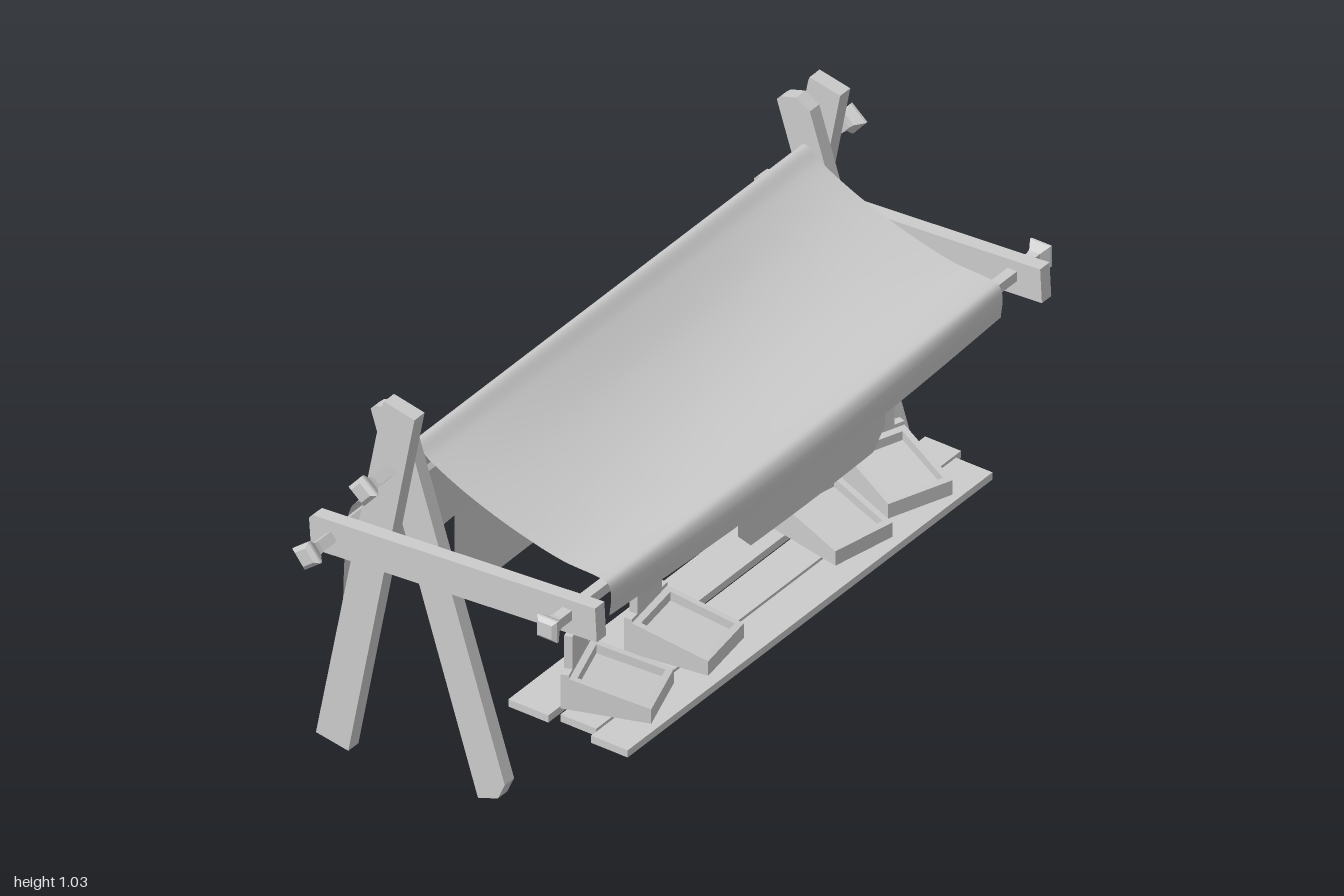
import * as THREE from 'three';

const grey = new THREE.MeshStandardMaterial({ color: 0xcccccc, flatShading: true });
const fabric = new THREE.MeshStandardMaterial({ color: 0xcccccc, side: THREE.DoubleSide });

function add(parent, name, geometry, material = grey) {
  const mesh = new THREE.Mesh(geometry, material);
  mesh.name = name;
  parent.add(mesh);
  return mesh;
}

// Flat board: outline given as [z, y] corners, spanning x0..x1
function slab(outline, x0, x1) {
  const shape = new THREE.Shape(outline.map(([z, y]) => new THREE.Vector2(-z, y)));
  return new THREE.ExtrudeGeometry(shape, { depth: x1 - x0, bevelEnabled: false })
    .rotateY(Math.PI / 2).translate(x0, 0, 0);
}

// Square pole along x with a flared knob at each end
function pole(half, roll, y, z) {
  const end = [[0.019, half - 0.05], [0.022, half - 0.037], [0.041, half - 0.015], [0.041, half - 0.009], [0.027, half], [0, half]];
  const profile = [
    ...end.slice().reverse().map(([r, l]) => new THREE.Vector2(r, -l)),
    ...end.map(([r, l]) => new THREE.Vector2(r, l)),
  ];
  return new THREE.LatheGeometry(profile, 4, roll).rotateZ(Math.PI / 2).translate(0, y, z);
}

// Surface grid from a function (u, v) => [x, y, z]
function sheet(nu, nv, point) {
  const pos = [], idx = [];
  for (let i = 0; i <= nu; i++) {
    for (let j = 0; j <= nv; j++) {
      pos.push(...point(i / nu, j / nv));
      if (i < nu && j < nv) {
        const a = i * (nv + 1) + j, b = a + nv + 1;
        idx.push(a, b, a + 1, b, b + 1, a + 1);
      }
    }
  }
  const g = new THREE.BufferGeometry();
  g.setAttribute('position', new THREE.Float32BufferAttribute(pos, 3));
  g.setIndex(idx);
  g.computeVertexNormals();
  return g;
}

const bulge = (x) => Math.max(0, Math.cos((x - 0.008) * Math.PI / 1.55));
const mix = THREE.MathUtils.lerp;
const curve = (pts) => new THREE.CatmullRomCurve3(pts.map(([z, y]) => new THREE.Vector3(0, y, z)), false, 'centripetal');

function buildCloth(group) {
  // Cross-sections [z, y] from the front hem over the poles to the back hem
  const side = curve([[0.37, 0.61], [0.375, 0.67], [0.365, 0.698], [0.34, 0.705], [0.235, 0.711], [0.1, 0.742],
    [-0.04, 0.79], [-0.148, 0.843], [-0.19, 0.873], [-0.212, 0.855], [-0.25, 0.74], [-0.3, 0.665],
    [-0.345, 0.65], [-0.372, 0.62], [-0.388, 0.5], [-0.395, 0.32]]);
  const middle = curve([[0.395, 0.61], [0.393, 0.67], [0.375, 0.7], [0.34, 0.703], [0.235, 0.69], [0.1, 0.703],
    [-0.04, 0.757], [-0.148, 0.835], [-0.19, 0.873], [-0.212, 0.855], [-0.25, 0.73], [-0.3, 0.66],
    [-0.345, 0.65], [-0.385, 0.62], [-0.42, 0.49], [-0.43, 0.32]]);
  add(group, 'canopyCloth', sheet(32, 75, (u, v) => {
    const x = mix(-0.765, 0.78, u), b = bulge(x);
    const p = side.getPoint(v).lerp(middle.getPoint(v), b);
    return [x, p.y, p.z];
  }), fabric);
  // Front drop with clipped lower corners
  add(group, 'frontFlap', sheet(12, 4, (u, v) => {
    const x = mix(-0.285, 0.295, u);
    const cut = Math.max(0, Math.abs(x - 0.005) - 0.242) / 0.048;
    return [x, mix(0.61, 0.53 + 0.05 * cut, v), mix(0.37, 0.395, bulge(x))];
  }), fabric);
  // Long back drop
  add(group, 'backFlap', sheet(12, 2, (u, v) => {
    const x = mix(-0.285, 0.295, u);
    return [x, mix(0.32, 0.07, v), mix(-0.395, -0.43, bulge(x))];
  }), fabric);
}

// Sloping display tray with a stepped back board
function buildTray(x, yaw, clip) {
  const tray = new THREE.Group();
  tray.name = 'displayTray';
  const w = 0.09, t = 0.016;
  const wedge = [[0.1, 0], [0.1, 0.04], [-0.1, 0.085], [-0.1, 0]];
  for (const s of [-1, 1]) add(tray, 'traySide', slab(wedge, s > 0 ? w - t : -w, s > 0 ? w : -w + t));
  add(tray, 'trayFloor', slab([[0.1, 0], [0.1, 0.018], [-0.1, 0.06], [-0.1, 0]], -w + t, w - t));
  add(tray, 'trayFront', slab([[0.1, 0], [0.1, 0.04], [0.084, 0.044], [0.084, 0]], -w + t, w - t));
  add(tray, 'trayBack', slab([[-0.084, 0], [-0.084, 0.081], [-0.1, 0.085], [-0.1, 0]], -w + t, w - t));
  const board = new THREE.Shape([
    [-w, 0], [w, 0], [w, 0.095], [0.062, 0.095], [0.062, 0.185],
    [-0.062 + clip, 0.185], [-0.062, 0.185 - clip], [-0.062, 0.095], [-w, 0.095],
  ].map(([a, b]) => new THREE.Vector2(a, b)));
  add(tray, 'trayBackBoard', new THREE.ExtrudeGeometry(board, { depth: 0.02, bevelEnabled: false })
    .translate(0, 0, -0.12));
  tray.position.set(x, 0.218, 0.245);
  tray.rotation.y = yaw;
  return tray;
}

export function createModel() {
  const group = new THREE.Group();
  group.name = 'marketStall';

  // A-frame legs and side arms
  const frontLeg = [[0.11, 0.065], [0.09, 0.02], [0.033, 0], [-0.275, 0.965], [-0.262, 0.977], [-0.22, 0.99], [-0.18, 0.967]];
  const backLeg = [[-0.31, 0.018], [-0.403, 0.034], [-0.212, 1.02], [-0.208, 1.032], [-0.12, 1.014]];
  const arm = [[0.43, 0.63], [0.425, 0.722], [-0.385, 0.666], [-0.396, 0.655], [-0.39, 0.572]];
  for (const s of [-1, 1]) {
    const board = (name, outline, a, b) =>
      add(group, name, slab(outline, s > 0 ? a : -b, s > 0 ? b : -a));
    board('frontLeg', frontLeg, 0.783, 0.82);
    board('backLeg', backLeg, 0.82, 0.86);
    board('sideArm', arm, 0.86, 0.897);
  }

  // Cross poles
  add(group, 'ridgePole', pole(0.977, 0.08, 0.847, -0.19));
  add(group, 'frontPole', pole(0.985, Math.PI / 4, 0.677, 0.345));
  add(group, 'backPole', pole(1, -0.12, 0.622, -0.335));

  buildCloth(group);

  // Shelf planks with staggered ends: [x0, x1, zBack, zFront]
  for (const [x0, x1, z0, z1] of [[-0.72, 0.72, 0.285, 0.39], [-0.69, 0.75, 0.175, 0.278], [-0.71, 0.73, 0.04, 0.155]]) {
    add(group, 'shelfPlank', new THREE.BoxGeometry(x1 - x0, 0.02, z1 - z0)
      .translate((x0 + x1) / 2, 0.208, (z0 + z1) / 2));
  }
  add(group, 'shelfPost', new THREE.BoxGeometry(0.065, 0.327, 0.065).translate(0.08, 0.197, -0.182));

  for (const [x, yaw, clip] of [[-0.545, 0.33, 0], [-0.283, 0.15, 0], [0.297, -0.2, 0], [0.54, -0.35, 0.035]]) {
    group.add(buildTray(x, yaw, clip));
  }
  return group;
}
